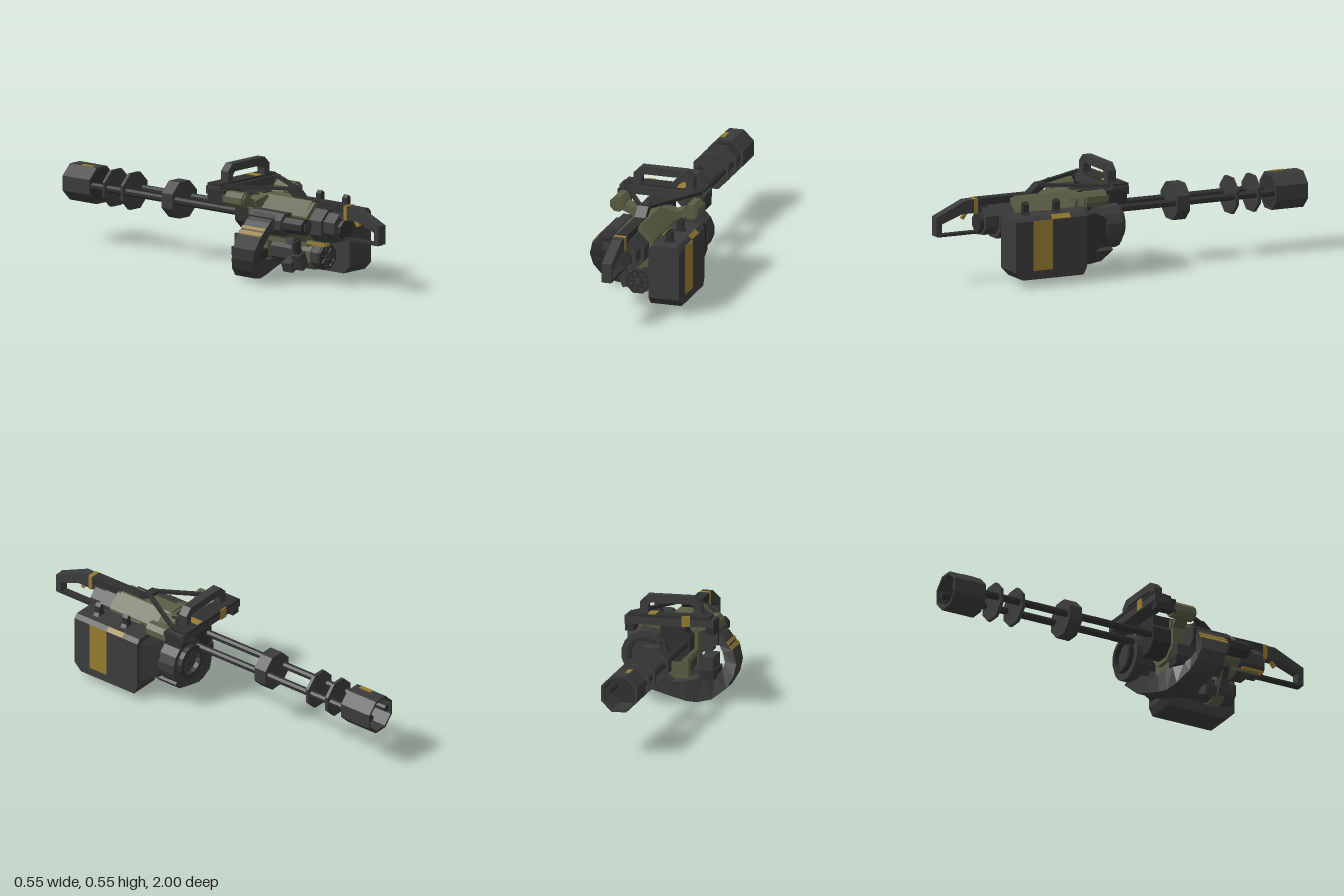
import * as THREE from 'three';

const paint = (name, color) => {
  const m = new THREE.MeshStandardMaterial({ color });
  m.name = name;
  return m;
};

export function createModel() {
  const model = new THREE.Group();
  model.name = 'rotaryGun';
  const grey = paint('gunmetal', 0x3b3b3c);
  const dark = paint('darkSteel', 0x303031);
  const green = paint('oliveGreen', 0x5a5e44);
  const yellow = paint('markingYellow', 0x957c30);

  const add = (name, geo, mat) => {
    const m = new THREE.Mesh(geo, mat);
    m.name = name;
    model.add(m);
    return m;
  };
  const box = (name, mat, x0, x1, y0, y1, z0, z1) => {
    const g = new THREE.BoxGeometry(x1 - x0, y1 - y0, z1 - z0);
    return add(name, g.translate((x0 + x1) / 2, (y0 + y1) / 2, (z0 + z1) / 2), mat);
  };
  const vecs = pts => pts.map(p => new THREE.Vector2(p[0], p[1]));
  // Outline in x,y swept along z
  const prism = (name, mat, pts, z0, z1, hole) => {
    const s = new THREE.Shape(vecs(pts));
    if (hole) s.holes.push(new THREE.Path(vecs(hole)));
    const g = new THREE.ExtrudeGeometry(s, { depth: z1 - z0, bevelEnabled: false });
    return add(name, g.translate(0, 0, z0), mat);
  };
  // Outline in z,y swept along x
  const sidePrism = (name, mat, pts, x0, x1, hole) => {
    const m = prism(name, mat, pts, 0, x1 - x0, hole);
    m.geometry.rotateY(-Math.PI / 2).translate(x1, 0, 0);
    return m;
  };
  // Regular outline with flats at distance a from the centre
  const ngon = (cx, cy, a, n = 8) => Array.from({ length: n }, (_, i) => {
    const t = (i + 0.5) * 2 * Math.PI / n, r = a / Math.cos(Math.PI / n);
    return [cx + r * Math.cos(t), cy + r * Math.sin(t)];
  });
  // Square bar between two points
  const bar = (name, mat, a, b, w, h) => {
    const p = new THREE.Vector3(...a), q = new THREE.Vector3(...b);
    const m = add(name, new THREE.BoxGeometry(w, h, p.distanceTo(q)), mat);
    m.position.copy(p).add(q).multiplyScalar(0.5);
    m.lookAt(q);
    return m;
  };
  // Four-sided loft; each section is [outer x, y, inner x, y, z0, z1]
  const loft = (name, mat, secs) => {
    const pos = [];
    const rings = secs.map(([ox, oy, ix, iy, z0, z1]) =>
      [[ox, oy, z0], [ox, oy, z1], [ix, iy, z1], [ix, iy, z0]]);
    const quad = (a, b, c, d) => pos.push(...a, ...b, ...c, ...a, ...c, ...d);
    for (let i = 0; i < rings.length - 1; i++)
      for (let k = 0; k < 4; k++) {
        const n = (k + 1) % 4;
        quad(rings[i][k], rings[i + 1][k], rings[i + 1][n], rings[i][n]);
      }
    quad(...rings[0]);
    quad(...rings[rings.length - 1].reverse());
    const g = new THREE.BufferGeometry();
    g.setAttribute('position', new THREE.Float32BufferAttribute(pos, 3));
    g.computeVertexNormals();
    return add(name, g, mat);
  };

  // Barrels, clamps and hollow muzzle
  const bx = 0.004, by = 0.3;
  for (const x of [-0.057, 0.065]) prism('barrel', dark, ngon(x, by + 0.003, 0.017), -0.99, 0.24);
  for (const [z0, z1] of [[-0.355, -0.285], [-0.622, -0.606], [-0.742, -0.726]])
    prism('barrelClamp', grey, ngon(bx, by, 0.09), z0, z1);
  prism('muzzle', grey, ngon(bx, by, 0.09), -1, -0.825, ngon(bx, by, 0.078));
  prism('muzzleBase', dark, ngon(bx, by, 0.079), -0.84, -0.826);
  box('muzzleMark', yellow, -0.032, -0.01, 0.388, 0.393, -0.925, -0.855);

  // Receiver
  prism('receiver', green, ngon(0.008, 0.3, 0.105), 0.22, 0.6);
  prism('receiverNose', dark, ngon(bx, by, 0.085), 0.12, 0.23);
  prism('receiverRidge', green, [[-0.075, 0.37], [0.09, 0.37], [0.045, 0.412], [-0.035, 0.412]], 0.27, 0.58);
  prism('rearHousing', grey, ngon(0.005, 0.295, 0.086), 0.59, 0.68);
  prism('rearCap', grey, ngon(0.005, 0.3, 0.068), 0.68, 0.75);
  prism('rearPlate', dark, ngon(0.005, 0.29, 0.045), 0.75, 0.77);
  box('underPlate', green, -0.045, 0.105, 0.085, 0.24, 0.24, 0.3);
  box('underBlock', green, -0.05, 0.07, 0.185, 0.22, 0.28, 0.56);

  // Motor with spoked face
  prism('motorMount', green, ngon(0.04, 0.13, 0.068), 0.5, 0.56);
  prism('motor', grey, ngon(0.037, 0.13, 0.062), 0.28, 0.61);
  prism('motorRim', dark, ngon(0.037, 0.13, 0.058), 0.61, 0.62, ngon(0.037, 0.13, 0.048));
  for (let i = 0; i < 8; i++) {
    const t = i * Math.PI / 4, c = Math.cos(t), s = Math.sin(t);
    bar('motorSpoke', dark, [0.037 + 0.018 * c, 0.13 + 0.018 * s, 0.613],
      [0.037 + 0.05 * c, 0.13 + 0.05 * s, 0.613], 0.012, 0.012);
  }
  prism('motorHub', grey, ngon(0.037, 0.13, 0.013, 4), 0.61, 0.622);

  // Feed drum and chute to the ammunition box
  prism('feedDrum', grey, ngon(0.14, 0.25, 0.115, 16), 0.09, 0.185);
  prism('drumRim', dark, ngon(0.14, 0.255, 0.085, 16), 0.065, 0.09, ngon(0.14, 0.255, 0.065, 16));
  sidePrism('feedNeck', dark, [[0.18, 0.18], [0.31, 0.1], [0.31, 0.32], [0.24, 0.335], [0.18, 0.3]], 0.14, 0.25);

  // Ammunition box with tapered base, markings and posts
  prism('ammoBox', grey, [[0.117, 0.08], [0.275, 0.08], [0.275, 0.33], [0.256, 0.35], [0.14, 0.35], [0.117, 0.333]], 0.3, 0.69);
  const base = box('ammoBoxBase', grey, 0.117, 0.275, 0.04, 0.08, 0.3, 0.69).geometry;
  const bp = base.attributes.position;
  for (let i = 0; i < bp.count; i++)
    if (bp.getY(i) < 0.05) bp.setZ(i, bp.getZ(i) > 0.5 ? 0.65 : 0.32);
  base.computeVertexNormals();
  box('boxStripe', yellow, 0.273, 0.278, 0.083, 0.33, 0.49, 0.595);
  bar('boxTopMark', yellow, [0.266, 0.341, 0.39], [0.266, 0.341, 0.49], 0.027, 0.004).rotation.z = -0.811;
  bar('boxTopMark', yellow, [0.128, 0.342, 0.39], [0.128, 0.342, 0.49], 0.028, 0.004).rotation.z = 0.637;
  for (const z of [0.43, 0.6])
    prism('boxPost', dark, [[0.165, 0.348], [0.225, 0.348], [0.21, 0.365], [0.21, 0.4], [0.195, 0.414], [0.181, 0.4], [0.181, 0.365]], z - 0.015, z + 0.015);

  // Ammunition belt chute curving under the gun
  const belt = [
    [-0.15, 0.35, -0.14, 0.27, 0.31, 0.45], [-0.2, 0.31, -0.185, 0.265, 0.3, 0.45],
    [-0.255, 0.245, -0.205, 0.23, 0.29, 0.44], [-0.275, 0.18, -0.218, 0.185, 0.28, 0.42],
    [-0.265, 0.12, -0.208, 0.15, 0.26, 0.4], [-0.235, 0.065, -0.18, 0.125, 0.235, 0.37],
    [-0.17, 0.015, -0.13, 0.115, 0.2, 0.33], [-0.1, 0.001, -0.09, 0.115, 0.185, 0.3],
    [-0.05, 0.008, -0.035, 0.105, 0.17, 0.29], [0.04, 0.035, 0.02, 0.1, 0.16, 0.28],
    [0.13, 0.065, 0.08, 0.14, 0.15, 0.28], [0.2, 0.13, 0.12, 0.2, 0.12, 0.25]];
  loft('beltChute', grey, belt);
  const beltAt = t => {
    const s = belt[1].map((v, i) => v + (belt[2][i] - v) * t);
    return [s[0] - 0.003, s[1] + 0.002, s[0] + 0.002, s[1] - 0.002, s[4], s[5]];
  };
  for (const [a, b] of [[0.4, 0.6], [0.7, 0.95]]) loft('beltStripe', yellow, [beltAt(a), beltAt(b)]);

  // Side connector and lower fittings
  prism('feedConnector', grey, ngon(-0.123, 0.3, 0.055), 0.29, 0.5);
  prism('connectorCap', dark, ngon(-0.123, 0.3, 0.038), 0.5, 0.62);
  prism('connectorStud', grey, ngon(-0.123, 0.3, 0.018, 4), 0.62, 0.628);
  box('connectorBracket', dark, -0.182, -0.14, 0.265, 0.33, 0.29, 0.46);
  box('lowerBox', grey, -0.178, -0.12, 0.15, 0.225, 0.2, 0.34);
  box('lowerBoxBase', dark, -0.187, -0.11, 0.115, 0.16, 0.19, 0.36);
  bar('piston', dark, [-0.095, 0.215, 0.52], [-0.045, 0.09, 0.52], 0.03, 0.03);
  bar('pistonSleeve', grey, [-0.072, 0.15, 0.52], [-0.04, 0.075, 0.52], 0.05, 0.05);
  bar('pistonLink', grey, [-0.11, 0.215, 0.5], [-0.02, 0.195, 0.5], 0.05, 0.035);
  bar('motorLink', grey, [-0.075, 0.07, 0.45], [0.02, 0.11, 0.45], 0.06, 0.05);
  const loop = [[-0.07, 0.22, 0.58], [-0.07, 0.22, 0.72], [-0.098, 0.22, 0.72], [-0.098, 0.22, 0.61]];
  for (let i = 0; i < 3; i++) bar('sideLoop', i ? yellow : green, loop[i], loop[i + 1], 0.013, 0.013);

  // Shoulder arms and round knobs
  for (const s of [-1, 1]) {
    const x = 0.007 + s * 0.188;
    prism('armKnob', green, ngon(x, 0.396, 0.037), 0.16, 0.28);
    prism('knobFace', green, ngon(x, 0.396, 0.027), 0.28, 0.288);
    bar('shoulderArm', green, [x, 0.392, 0.23], [0.007 + s * 0.1, 0.367, 0.25], 0.06, 0.04);
    bar('shoulderArm', green, [0.007 + s * 0.11, 0.365, 0.25], [0.007 + s * 0.04, 0.392, 0.27], 0.08, 0.045);
    // Frame brackets and V struts
    box('frameBracket', dark, x - 0.022 + s * 0.014, x + 0.022 + s * 0.014, 0.37, 0.435, 0.06, 0.17);
    bar('vStrut', dark, [0.007 + s * 0.195, 0.45, 0.13], [0.007 + s * 0.015, 0.45, 0.43], 0.02, 0.015);
  }

  // Cross frame and carry handle
  box('frameBar', grey, -0.217, 0.23, 0.408, 0.448, 0.05, 0.14);
  box('framePlate', dark, -0.2, 0.215, 0.446, 0.46, 0.045, 0.125);
  box('frameSupport', dark, -0.06, 0.07, 0.36, 0.41, 0.13, 0.25);
  box('frameMark', yellow, 0.075, 0.115, 0.458, 0.463, 0.05, 0.125);
  box('frameMark', yellow, -0.1, -0.058, 0.408, 0.462, 0.041, 0.047);
  prism('carryHandle', grey, [[-0.147, 0.41], [-0.108, 0.41], [-0.108, 0.495], [-0.093, 0.511], [0.107, 0.511],
    [0.122, 0.495], [0.122, 0.41], [0.161, 0.41], [0.161, 0.515], [0.125, 0.55], [-0.111, 0.55], [-0.147, 0.515]], 0.085, 0.13);

  // Top rail joining the struts to the rear grip
  sidePrism('strutHead', dark, [[0.4, 0.442], [0.46, 0.405], [0.5, 0.405], [0.44, 0.459], [0.4, 0.459]], -0.022, 0.034);
  box('topRail', dark, -0.022, 0.034, 0.38, 0.415, 0.46, 0.77);
  sidePrism('rearGrip', grey, [[0.72, 0.345], [0.8, 0.345], [0.86, 0.345], [0.97, 0.305], [0.97, 0.245], [1, 0.245],
    [1, 0.34], [0.84, 0.412], [0.72, 0.412]], -0.02, 0.03);
  box('gripRod', dark, -0.015, 0.025, 0.24, 0.252, 0.75, 0.99);
  box('gripBand', yellow, -0.023, 0.033, 0.342, 0.415, 0.775, 0.795);
  bar('trigger', yellow, [0.005, 0.345, 0.83], [0.005, 0.318, 0.85], 0.018, 0.016);
  return model;
}
